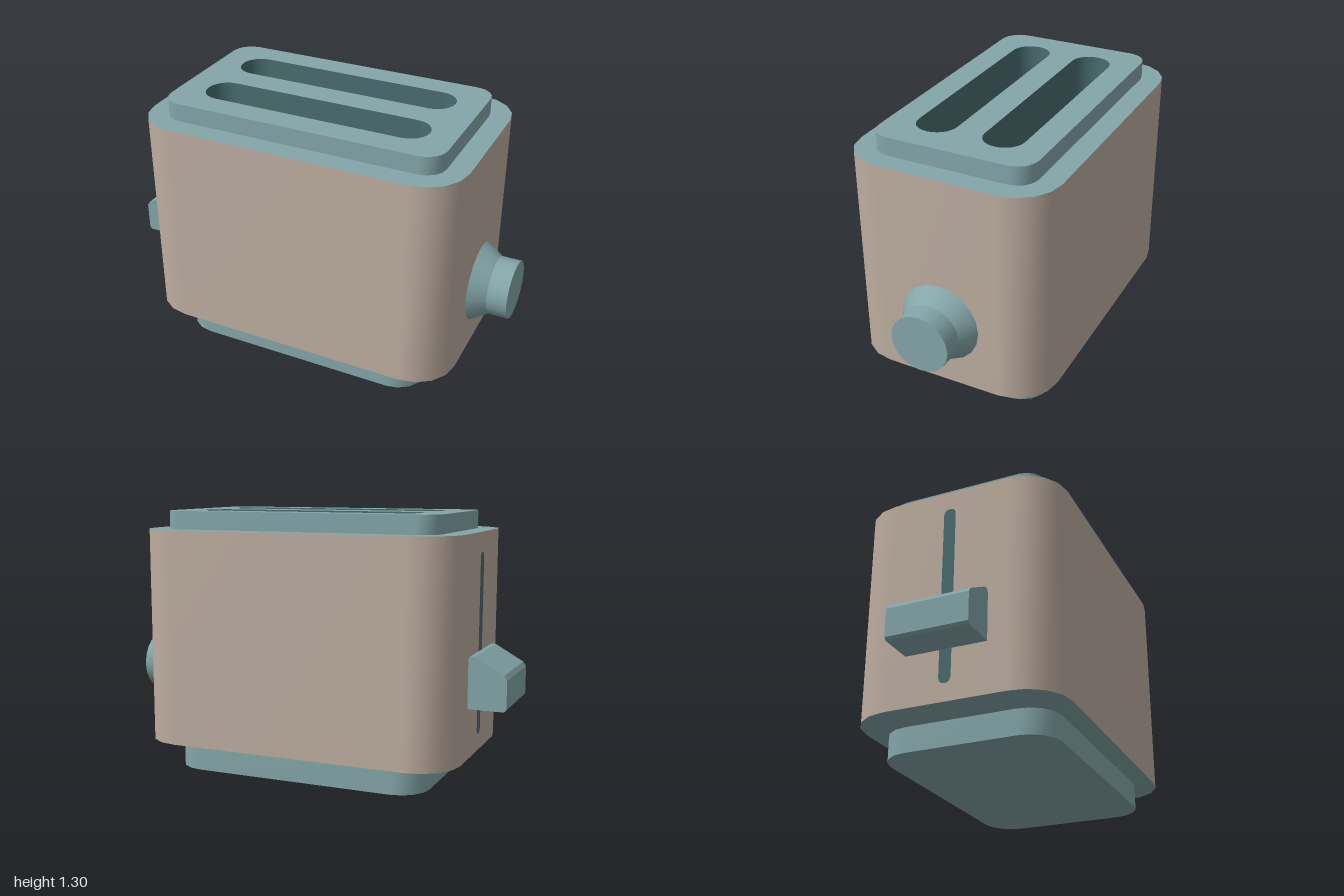
import * as THREE from 'three';

const material = (name, color) => {
  const m = new THREE.MeshStandardMaterial({ color });
  m.name = name;
  return m;
};

// Points of a rounded rectangle, counter-clockwise
function outline(w, d, r, cy = 0, steps = 4) {
  const points = [];
  [[1, 1], [-1, 1], [-1, -1], [1, -1]].forEach(([sx, sy], corner) => {
    for (let i = 0; i <= steps; i++) {
      const a = (corner + i / steps) * Math.PI / 2;
      points.push(new THREE.Vector2(
        sx * (w / 2 - r) + r * Math.cos(a),
        cy + sy * (d / 2 - r) + r * Math.sin(a)));
    }
  });
  return points;
}

// Open smooth wall joining two outlines at two heights
function wall(lower, y0, upper, y1) {
  const n = lower.length, pos = [], index = [];
  lower.forEach(p => pos.push(p.x, y0, -p.y));
  upper.forEach(p => pos.push(p.x, y1, -p.y));
  for (let i = 0; i < n; i++) {
    const j = (i + 1) % n;
    index.push(i, j, n + j, i, n + j, n + i);
  }
  const g = new THREE.BufferGeometry();
  g.setAttribute('position', new THREE.Float32BufferAttribute(pos, 3));
  g.setIndex(index);
  g.computeVertexNormals();
  return g;
}

// Flat horizontal face with optional holes, facing up or down
function face(points, y, holes = [], up = true) {
  const shape = new THREE.Shape(points);
  holes.forEach(h => shape.holes.push(new THREE.Path(h)));
  return new THREE.ShapeGeometry(shape)
    .rotateX(up ? -Math.PI / 2 : Math.PI / 2).translate(0, y, 0);
}

export function createModel() {
  const beige = material('beige shell', 0xbdada0);
  const teal = material('teal trim', 0x84a6a9);
  const dark = material('dark slot', 0x4a6c6e);
  dark.side = THREE.DoubleSide;

  const model = new THREE.Group();
  model.name = 'toaster';
  const add = (name, geometry, mat) => {
    const mesh = new THREE.Mesh(geometry, mat);
    mesh.name = name;
    model.add(mesh);
    return mesh;
  };

  const body = outline(1.63, 1.015, 0.21);
  const plate = outline(1.42, 0.8, 0.1);
  const base = outline(1.32, 0.845, 0.15);
  const slots = [-0.17, 0.17].map(c => outline(1.155, 0.2, 0.098, c, 6));

  // Shell with its top rim and sloping underside
  add('bodyShell', wall(body, 0.14, body, 1.21), beige);
  add('bodyTopRim', face(body, 1.21, [plate]), teal);
  add('bodyUnderside', wall(base, 0.123, body, 0.14), teal);

  // Foot
  add('baseWall', wall(base, 0, base, 0.123), teal);
  add('baseBottom', face(base, 0, [], false), teal);

  // Raised top plate with two deep bread slots
  add('topPlateWall', wall(plate, 1.21, plate, 1.3), teal);
  add('topPlate', face(plate, 1.3, slots), teal);
  slots.forEach((slot, i) => {
    add('breadSlotWall' + (i + 1), wall(slot, 0.4, slot, 1.3), dark);
    add('breadSlotFloor' + (i + 1), face(slot, 0.4), dark);
  });

  // Browning knob: flared collar and grip
  const knob = new THREE.Group();
  knob.name = 'knob';
  [['knobCollar', 0.146, 0.2, 0.815, 0.9, true],
    ['knobGrip', 0.146, 0.146, 0.9, 1, false]].forEach(([name, r1, r0, x0, x1, open]) => {
    const g = new THREE.CylinderGeometry(r1, r0, x1 - x0, 20, 1, open)
      .rotateZ(-Math.PI / 2).translate((x0 + x1) / 2, 0.463, 0);
    const mesh = new THREE.Mesh(g, teal);
    mesh.name = name;
    knob.add(mesh);
  });
  model.add(knob);

  // Lever on the opposite end, with a sloping top
  const leverShape = new THREE.Shape([
    [-0.815, 0.39], [-0.815, 0.63], [-0.825, 0.643], [-0.845, 0.641],
    [-0.985, 0.562], [-1, 0.54], [-1, 0.402], [-0.988, 0.39],
  ].map(p => new THREE.Vector2(...p)));
  add('lever', new THREE.ExtrudeGeometry(leverShape, { depth: 0.4, bevelEnabled: false })
    .translate(0, 0, -0.2), teal);

  // Track the lever slides in
  const track = new THREE.Shape(outline(0.06, 0.89, 0.029));
  add('leverTrack', new THREE.ShapeGeometry(track)
    .rotateY(-Math.PI / 2).translate(-0.818, 0.67, 0), dark);

  return model;
}
